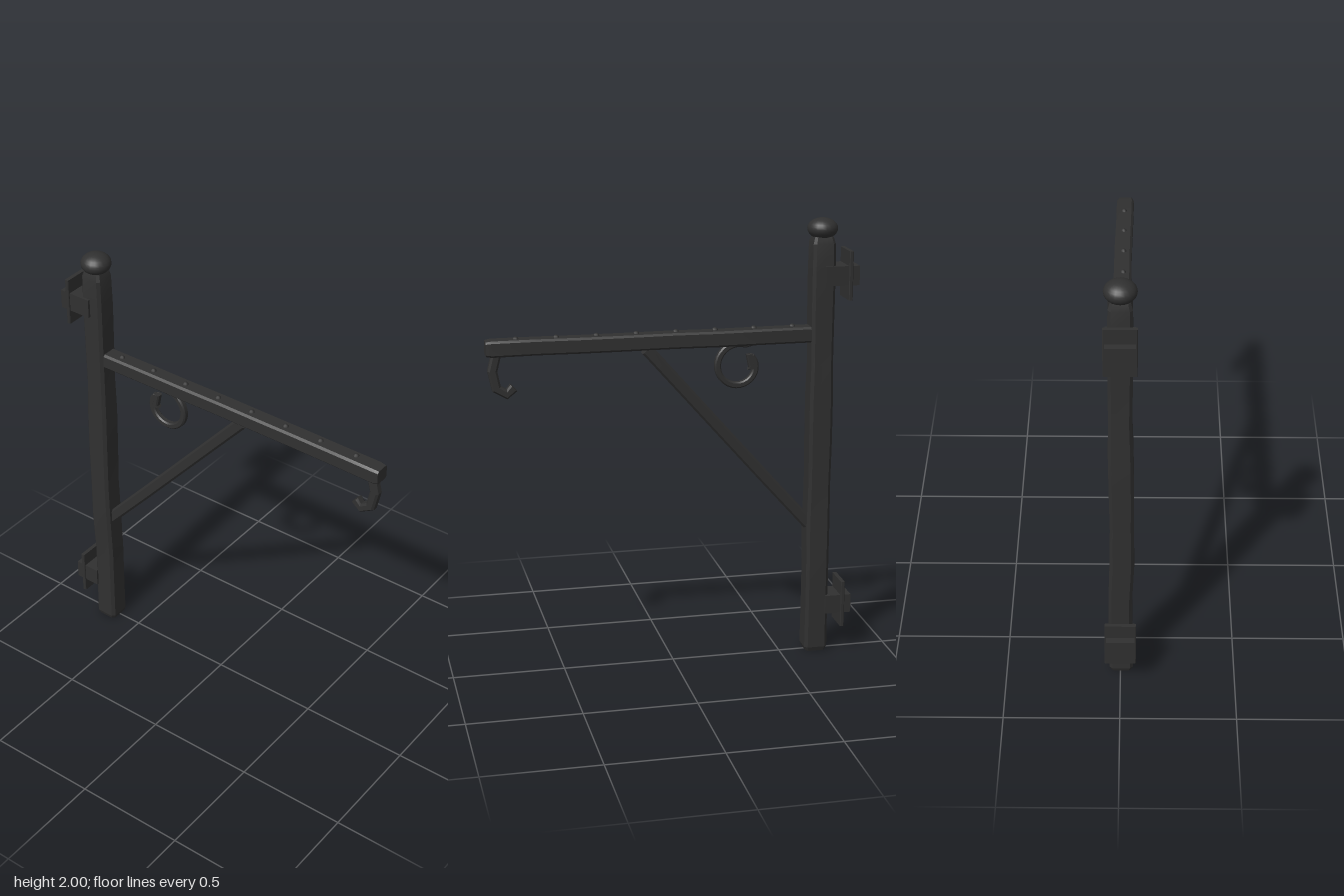
import * as THREE from 'three';
import { toCreasedNormals } from 'three/addons/utils/BufferGeometryUtils.js';

const iron = new THREE.MeshStandardMaterial({ color: 0x303030 });
iron.name = 'black iron';

// Chamfered bar swept through [x, y, z] points; w is half its x width, h half its depth, c the chamfer.
// An optional fourth value in a point scales that section.
function bar(points, w, h, c) {
  const centres = points.map(p => new THREE.Vector3(p[0], p[1], p[2]));
  const u = new THREE.Vector3(1, 0, 0);
  const section = [[w, c - h], [w, h - c], [w - c, h], [c - w, h], [-w, h - c], [-w, c - h], [c - w, -h], [w - c, -h]];
  const n = section.length, pos = [], index = [];
  centres.forEach((p, i) => {
    const a = centres[Math.max(i - 1, 0)], b = centres[Math.min(i + 1, centres.length - 1)];
    const t = b.clone().sub(a).setX(0).normalize();
    const v = t.clone().cross(u);
    const s = points[i][3] ?? 1;
    for (const [x, y] of section) {
      const q = p.clone().addScaledVector(u, x * s).addScaledVector(v, y * s);
      pos.push(q.x, q.y, q.z);
    }
  });
  const last = (centres.length - 1) * n;
  for (let r = 0; r < last; r += n) {
    for (let i = 0; i < n; i++) {
      const j = (i + 1) % n;
      index.push(r + i, r + j, r + n + j, r + i, r + n + j, r + n + i);
    }
  }
  for (let i = 1; i < n - 1; i++) index.push(0, i + 1, i, last, last + i, last + i + 1);
  const g = new THREE.BufferGeometry();
  g.setAttribute('position', new THREE.Float32BufferAttribute(pos, 3));
  g.setIndex(index);
  return toCreasedNormals(g, 0.3);
}

export function createModel() {
  const model = new THREE.Group();
  model.name = 'wallBracket';
  const add = (name, geometry, x = 0, y = 0, z = 0) => {
    const mesh = new THREE.Mesh(geometry, iron);
    mesh.name = name;
    mesh.position.set(x, y, z);
    model.add(mesh);
    return mesh;
  };

  // Hand-hammered upright, slightly crooked
  add('post', bar([
    [-0.003, 0, -0.664, 0.88], [-0.003, 0.02, -0.664, 1.02], [-0.001, 0.2, -0.664], [0.001, 0.4, -0.664],
    [-0.006, 0.6, -0.665, 1.03], [-0.006, 0.8, -0.667, 0.98], [-0.004, 1.0, -0.667, 1.02],
    [-0.001, 1.2, -0.666, 1.02], [0.001, 1.35, -0.666, 0.95], [0, 1.55, -0.665, 0.98],
    [0.001, 1.75, -0.665], [0, 1.89, -0.665, 0.96], [0, 1.92, -0.665, 0.8],
  ], 0.051, 0.052, 0.013));

  // Flattened ball on top
  add('finial', new THREE.SphereGeometry(0.067, 20, 14), 0, 1.953, -0.665).scale.y = 0.7;

  // Horizontal arm
  add('arm', bar([
    [0, 1.489, -0.64], [0.001, 1.489, -0.4], [0.001, 1.488, -0.2], [0, 1.49, 0],
    [-0.001, 1.489, 0.2], [-0.002, 1.489, 0.4], [-0.006, 1.49, 0.6], [-0.008, 1.489, 0.79, 1.02], [-0.008, 1.489, 0.815, 0.9],
  ], 0.038, 0.035, 0.009));

  // Row of rivets along the arm
  for (let i = 0; i < 8; i++) {
    add('rivet', new THREE.SphereGeometry(0.014, 8, 6), -0.003, 1.522, 0.685 - i * 0.1745);
  }

  // Diagonal brace
  add('brace', bar([
    [-0.006, 0.61, -0.625], [-0.005, 0.85, -0.412], [-0.002, 1.1, -0.193], [0.002, 1.3, -0.018], [0.002, 1.455, 0.118],
  ], 0.027, 0.027, 0.009));

  // Scroll under the arm, tightening towards its tip
  const scroll = [];
  for (let i = 0; i <= 28; i++) {
    const k = i / 28;
    const a = Math.PI * (0.6 - 1.85 * k);
    const r = 0.098 - 0.03 * k * k;
    scroll.push([0, 1.361 + Math.sin(a) * r, -0.294 + Math.cos(a) * r]);
  }
  scroll.unshift([0, 1.462, -0.355]);
  scroll.push([0, 1.343, -0.356], [0, 1.352, -0.342]);
  add('scroll', bar(scroll, 0.015, 0.014, 0.006));

  // Lantern hook at the free end
  add('hook', bar([
    [-0.003, 1.47, 0.768], [-0.003, 1.39, 0.788], [-0.003, 1.312, 0.772], [-0.003, 1.286, 0.728], [-0.003, 1.314, 0.698],
  ], 0.021, 0.021, 0.009));

  // Wall mounts: a thin plate crossed by a block
  for (const [y, front] of [[1.75, -0.668], [0.228, -0.7]]) {
    const depth = front + 0.82;
    add('mountBlock', new THREE.BoxGeometry(0.122, 0.086, depth), 0, y, front - depth / 2);
    add('mountPlate', bar([[0, y - 0.108, -0.78], [0, y + 0.108, -0.78]], 0.068, 0.009, 0.003));
  }

  return model;
}
